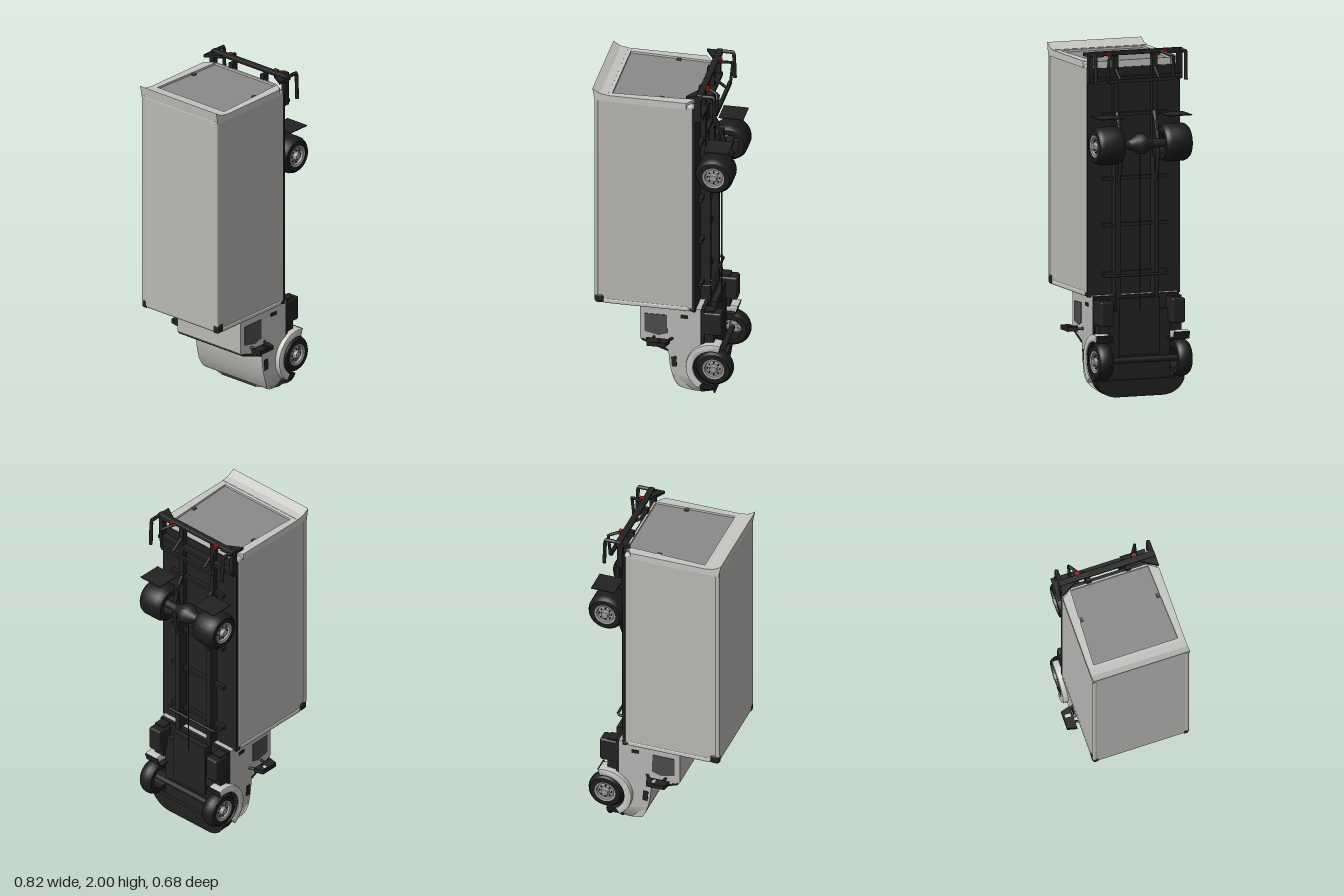
import * as THREE from 'three';
import { toCreasedNormals } from 'three/addons/utils/BufferGeometryUtils.js';
import { RoundedBoxGeometry } from 'three/addons/geometries/RoundedBoxGeometry.js';

// A box truck standing on its nose: roof towards -x, wheels towards +x, tail up.
export function createModel() {
  const model = new THREE.Group();
  model.name = 'boxTruck';
  const paint = (name, color) => {
    const m = new THREE.MeshStandardMaterial({ color });
    m.name = name;
    return m;
  };
  const body = paint('bodyGrey', 0xbab8b5);
  const trim = paint('paleTrim', 0xc6c6c3);
  const door = paint('doorGrey', 0x8a8a8a);
  const black = paint('chassisBlack', 0x222222);
  const rubber = paint('tyreBlack', 0x1c1c1c);
  const glass = paint('darkGlass', 0x4c4c4c);
  const metal = paint('wheelMetal', 0x989896);
  metal.side = THREE.DoubleSide;
  const red = paint('tailRed', 0xa81414);

  const add = (name, geo, mat, parent = model) => {
    const m = new THREE.Mesh(geo, mat);
    m.name = name;
    parent.add(m);
    return m;
  };
  // Box given by its limits on each axis
  const box = (name, mat, x0, x1, y0, y1, z0, z1, r = 0) => {
    const s = [x1 - x0, y1 - y0, z1 - z0];
    const g = r ? new RoundedBoxGeometry(...s, 3, r) : new THREE.BoxGeometry(...s);
    g.translate((x0 + x1) / 2, (y0 + y1) / 2, (z0 + z1) / 2);
    return add(name, g, mat);
  };
  const both = (fn) => [1, -1].forEach(fn);
  const sideBox = (name, mat, x0, x1, y0, y1, z0, z1, r) =>
    both((s) => box(name, mat, x0, x1, y0, y1, Math.min(s * z0, s * z1), Math.max(s * z0, s * z1), r));
  const bar = (name, pts, r, mat = black) => {
    const path = new THREE.CurvePath();
    const v = pts.map((p) => new THREE.Vector3(...p));
    for (let i = 1; i < v.length; i++) path.add(new THREE.LineCurve3(v[i - 1], v[i]));
    return add(name, new THREE.TubeGeometry(path, 8 * (v.length - 1), r, 8), mat);
  };
  const vec2 = (pts) => pts.map((p) => new THREE.Vector2(...p));
  const polygon = (pts) => new THREE.Shape(vec2(pts));
  // Level plate from an outline in x and -z
  const plate = (name, shape, mat, y0, y1) => add(name,
    new THREE.ExtrudeGeometry(shape, { depth: y1 - y0, bevelEnabled: false }).rotateX(-Math.PI / 2).translate(0, y0, 0), mat);

  // ---- Cargo box ----
  box('cargoBox', body, -0.397, 0.185, 0.58, 1.925, -0.288, 0.288, 0.02);
  const frame = polygon([[-0.397, -0.292], [0.14, -0.292], [0.187, -0.23], [0.187, 0.23], [0.14, 0.292], [-0.397, 0.292]]);
  frame.holes.push(new THREE.Path(vec2([[-0.3, -0.255], [-0.3, 0.255], [0.175, 0.235], [0.175, -0.235]])));
  plate('rearDoorFrame', frame, trim, 1.9, 1.94);
  box('rearDoor', door, -0.31, 0.18, 1.92, 1.928, -0.26, 0.26);
  const lip = polygon([[-0.41, 1.975], [-0.395, 1.9], [-0.33, 1.9], [-0.32, 1.942], [-0.365, 1.948]]);
  add('roofLip', new THREE.ExtrudeGeometry(lip, { depth: 0.584, bevelEnabled: false }).translate(0, 0, -0.292), trim);
  sideBox('roofRail', body, -0.4, -0.375, 0.62, 1.92, 0.265, 0.291, 0.01);
  sideBox('upperCornerCap', black, -0.4, -0.34, 0.577, 0.637, 0.25, 0.293, 0.018);
  sideBox('lowerCornerCap', black, 0.16, 0.19, 0.577, 0.602, 0.265, 0.291, 0.01);
  box('frontEdgeTrim', trim, -0.35, 0.16, 0.577, 0.61, -0.291, 0.291, 0.012);
  both((s) => box('doorLatch', glass, -0.025, 0, 1.925, 1.935, s * 0.24 - 0.018, s * 0.24 + 0.018));

  // ---- Chassis ----
  box('floor', black, 0.175, 0.192, 0.575, 1.9, -0.286, 0.286);
  sideBox('frameRail', black, 0.18, 0.25, 0.5, 1.38, 0.105, 0.135);
  sideBox('rearRail', black, 0.18, 0.222, 1.38, 1.97, 0.105, 0.135);
  for (const y of [0.7, 0.98, 1.25, 1.62]) box('crossMember', black, 0.185, 0.215, y, y + 0.02, -0.2, 0.2);
  box('rearCrossMember', black, 0.185, 0.235, 1.83, 1.85, -0.286, 0.286);
  bar('driveShaft', [[0.288, 0.5, 0], [0.288, 1.42, 0]], 0.004);
  bar('guardBar', [[0.19, 0.7, 0.19], [0.262, 0.7, 0.18], [0.262, 0.7, -0.18], [0.19, 0.7, -0.19]], 0.008);
  both((s) => {
    const z = s * 0.115;
    const spring = new THREE.QuadraticBezierCurve3(
      new THREE.Vector3(0.22, 1.64, z), new THREE.Vector3(0.335, 1.43, z), new THREE.Vector3(0.235, 1.22, z));
    add('leafSpring', new THREE.TubeGeometry(spring, 14, 0.012, 6), black);
    bar('springHanger', [[0.22, 1.6, z], [0.27, 1.58, z], [0.27, 1.53, z]], 0.008);
  });
  sideBox('mudFlap', black, 0.24, 0.385, 1.627, 1.632, 0.135, 0.285);

  // ---- Axles ----
  const axle = (y, r) => add('axle', new THREE.CylinderGeometry(r, r, 0.46, 14).rotateX(Math.PI / 2).translate(0.3, y, 0), black);
  axle(1.465, 0.025);
  axle(0.215, 0.018);
  add('differential', new THREE.LatheGeometry(vec2([[0.02, -0.1], [0.032, -0.06], [0.06, -0.018], [0.06, 0.018], [0.032, 0.06], [0.02, 0.1]]), 18)
    .rotateX(Math.PI / 2).translate(0.297, 1.465, 0), black);

  // ---- Wheels ----
  const lathe = (pts) => toCreasedNormals(new THREE.LatheGeometry(vec2(pts), 32).rotateX(Math.PI / 2), 0.7);
  const wheel = (name, y, z, side, width) => {
    const g = new THREE.Group();
    const h = width / 2;
    g.name = name;
    add('tyre', lathe([[0.062, -h], [0.092, -h], [0.103, 0.012 - h], [0.11, 0.03 - h], [0.11, h - 0.03], [0.103, h - 0.012],
      [0.092, h], [0.062, h], [0.062, -h]]), rubber, g);
    add('rim', lathe([[0, h + 0.012], [0.02, h + 0.01], [0.025, h - 0.012], [0.048, h - 0.016], [0.052, h - 0.002], [0.064, h + 0.001]]), metal, g);
    for (let i = 0; i < 8; i++) {
      const a = (i * Math.PI) / 4;
      add('wheelNut', new THREE.CylinderGeometry(0.004, 0.004, 0.012, 6).rotateX(Math.PI / 2)
        .translate(0.036 * Math.cos(a), 0.036 * Math.sin(a), h - 0.011), black, g);
    }
    g.position.set(0.299, y, z);
    if (side < 0) g.rotation.y = Math.PI;
    model.add(g);
  };
  both((s) => {
    wheel('frontWheel', 0.215, s * 0.243, s, 0.085);
    wheel('rearWheel', 1.465, s * 0.206, s, 0.16);
  });

  // ---- Cab: side profile, narrowed towards the roof and rounded at the nose ----
  const cabSlab = (name, shape, mat, half) => {
    const g = new THREE.ExtrudeGeometry(shape, { depth: half * 2, bevelEnabled: false, curveSegments: 14 });
    g.translate(0, 0, -half);
    const p = g.attributes.position;
    for (let i = 0; i < p.count; i++) {
      const t = Math.min(1, Math.max(0, (0.12 - p.getY(i)) / 0.12));
      const nose = 0.5 + 0.5 * Math.sqrt(1 - t * t);
      p.setZ(i, p.getZ(i) * nose * (1 - 0.25 * (0.22 - p.getX(i))));
    }
    g.deleteAttribute('normal');
    return add(name, toCreasedNormals(g, 0.6), mat);
  };
  const cab = new THREE.Shape();
  cab.moveTo(-0.13, 0.585);
  cab.lineTo(-0.142, 0.57);
  cab.lineTo(-0.142, 0.355);
  cab.lineTo(-0.132, 0.343);
  cab.lineTo(0.03, 0.29);
  cab.bezierCurveTo(0.03, 0.2, 0.05, 0.12, 0.085, 0.06);
  cab.quadraticCurveTo(0.13, 0.03, 0.21, 0.012);
  cab.lineTo(0.23, 0.012);
  cab.lineTo(0.23, 0.107);
  cab.absarc(0.295, 0.22, 0.13, Math.PI + 1.048, Math.PI - 1.048, true);
  cab.lineTo(0.22, 0.36);
  cab.lineTo(0.22, 0.585);
  cabSlab('cab', cab, body, 0.266);
  cabSlab('sideWindows', polygon([[-0.112, 0.4], [-0.112, 0.515], [0.02, 0.522], [0.022, 0.405], [-0.03, 0.385]]), glass, 0.27);
  cabSlab('hoodVents', polygon([[0.05, 0.19], [0.045, 0.255], [0.075, 0.26], [0.08, 0.195]]), black, 0.27);
  cabSlab('doorHandles', polygon([[0.1, 0.515], [0.1, 0.535], [0.145, 0.535], [0.145, 0.515]]), black, 0.271);
  cabSlab('windshield', polygon([[-0.132, 0.339], [-0.132, 0.352], [0.028, 0.3], [0.028, 0.286]]), black, 0.268);

  // Nose
  const bumper = new THREE.Shape();
  bumper.moveTo(0.215, 0.1);
  for (let i = 10; i >= 0; i--) bumper.lineTo(0.215, 0.1 * (i / 10) ** 2);
  for (let i = 0; i <= 10; i++) bumper.lineTo(0.285 + 0.001 * i, 0.1 * (i / 10) ** 2);
  cabSlab('bumper', bumper, black, 0.272);
  cabSlab('grille', polygon([[0.115, 0.029], [0.12, 0.043], [0.2, 0.022], [0.2, 0.008]]), black, 0.17);
  both((s) => {
    const lamp = box('headlight', metal, -0.03, 0.03, -0.004, 0.004, -0.03, 0.03);
    lamp.position.set(0.145, 0.034, s * 0.16);
    lamp.rotation.set(-s * 0.35, 0, -0.25);
  });

  // Fenders over the front wheels, with dark liners
  const arc = (name, mat, r0, r1, a0, a1, z0, z1, bevel) => {
    const shape = new THREE.Shape();
    shape.absarc(0.295, 0.216, r1, a0, a1, false);
    shape.absarc(0.295, 0.216, r0, a1, a0, true);
    const g = new THREE.ExtrudeGeometry(shape, {
      depth: z1 - z0 - 2 * bevel, bevelEnabled: bevel > 0, bevelSize: bevel, bevelThickness: bevel, bevelSegments: 2, curveSegments: 20,
    });
    add(name, toCreasedNormals(g.translate(0, 0, z0 + bevel), 0.7), mat);
  };
  both((s) => {
    const span = (a, b) => (s > 0 ? [a, b] : [-b, -a]);
    arc('fender', trim, 0.121, 0.152, 1.32, 4.1, ...span(0.205, 0.292), 0.006);
    arc('wheelLiner', black, 0.111, 0.116, 1.3, 4.5, ...span(0.17, 0.285), 0);
    arc('linerEdge', black, 0.114, 0.16, 1.26, 1.3, ...span(0.19, 0.288), 0);
  });

  // Cab underside, steps and tanks
  box('engineTray', black, 0.14, 0.275, 0.06, 0.5, -0.19, 0.19);
  box('cabFloor', black, 0.2, 0.24, 0.34, 0.583, -0.262, 0.262);
  box('gearboxCover', black, 0.25, 0.285, 0.24, 0.57, -0.125, 0.125);
  sideBox('stepTank', black, 0.22, 0.34, 0.42, 0.565, 0.18, 0.262, 0.012);
  sideBox('stepPlate', black, 0.21, 0.295, 0.37, 0.575, 0.19, 0.255);

  // Mirrors
  both((s) => {
    const outline = polygon([[-0.095, 0.285], [-0.082, 0.342], [0.028, 0.342], [0.045, 0.285]].map(([x, z]) => [x, z * s]));
    outline.holes.push(new THREE.Path(vec2([[-0.02, 0.295], [-0.018, 0.33], [0.002, 0.33], [0, 0.295]].map(([x, z]) => [x, z * s]))));
    plate('mirror', outline, black, 0.357, 0.383);
    bar('mirrorArm', [[-0.06, 0.37, s * 0.23], [-0.05, 0.37, s * 0.3]], 0.008);
    bar('mirrorBrace', [[0.02, 0.37, s * 0.3], [0.06, 0.375, s * 0.24]], 0.008);
  });

  // ---- Tail frame ----
  box('tailCrossbar', black, 0.2, 0.235, 1.975, 2, -0.29, 0.29, 0.006);
  box('underrideBar', black, 0.285, 0.305, 1.825, 1.845, -0.2, 0.2);
  sideBox('tailPost', black, 0.19, 0.225, 1.82, 1.99, 0.262, 0.289);
  both((s) => {
    plate('tailCornerPlate', polygon([[0.14, 0.291], [0.235, 0.291], [0.235, 0.2], [0.195, 0.2]].map(([x, z]) => [x, z * s])), black, 1.97, 1.988);
    bar('tailHook', [[0.2, 1.988, s * 0.278], [0.3, 1.988, s * 0.278], [0.306, 1.825, s * 0.278]], 0.011);
    bar('tailBrace', [[0.225, 1.985, s * 0.15], [0.31, 1.965, s * 0.2], [0.297, 1.835, s * 0.2]], 0.009);
    bar('tailStrut', [[0.21, 1.9, s * 0.12], [0.295, 1.835, s * 0.12]], 0.009);
    box('tailLight', red, 0.228, 0.253, 1.975, 1.998, s * 0.172 - 0.014, s * 0.172 + 0.014);
  });
  return model;
}
